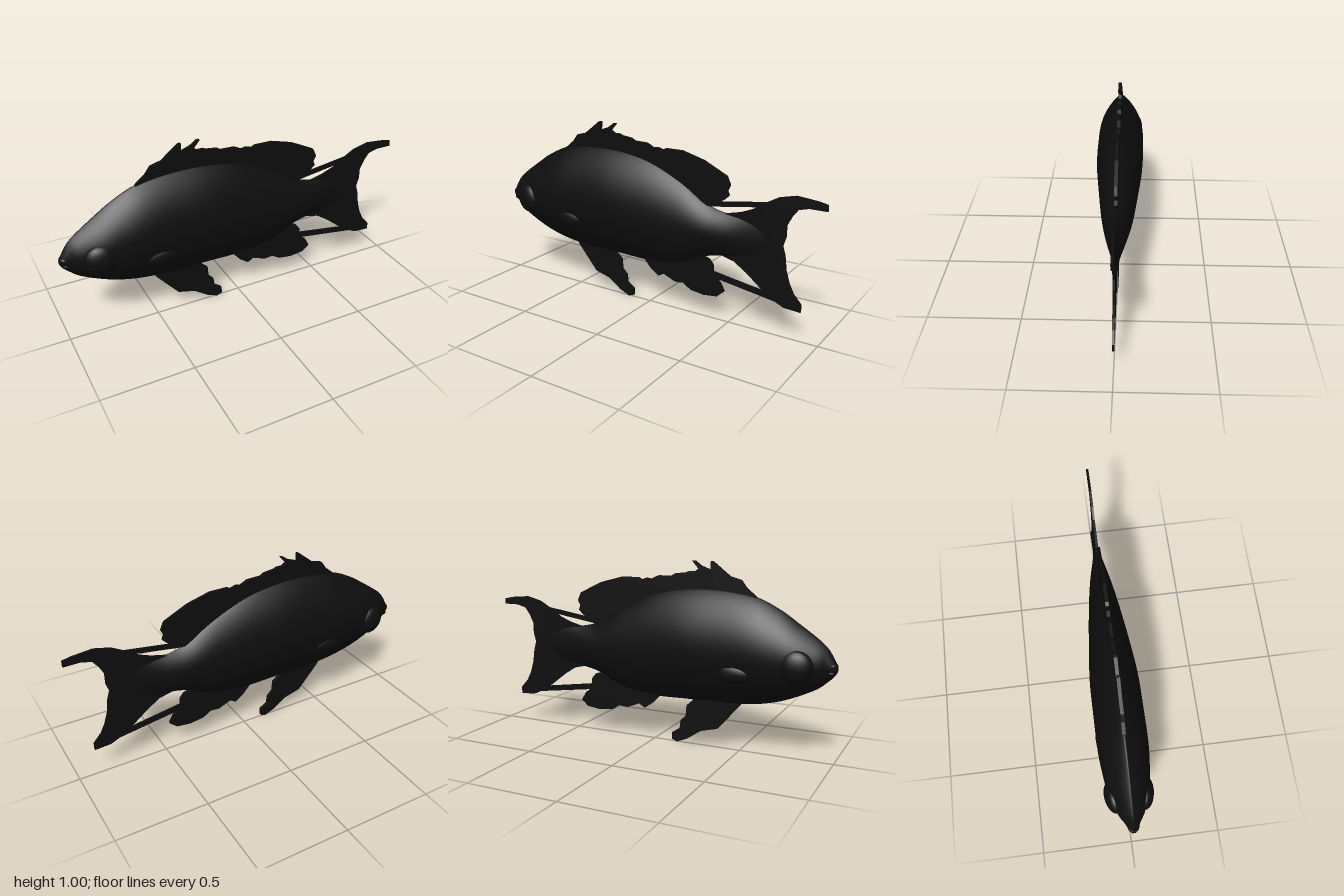
import * as THREE from 'three';

const skin = new THREE.MeshStandardMaterial({ color: 0x0e0e0e });
skin.name = 'black skin';

// Body stations: x, top y, bottom y, half width
const stations = [
  [-1.0, 0.505, 0.48, 0.01], [-0.985, 0.535, 0.455, 0.022], [-0.95, 0.59, 0.42, 0.04],
  [-0.9, 0.635, 0.38, 0.07], [-0.8, 0.705, 0.33, 0.105], [-0.7, 0.77, 0.292, 0.122],
  [-0.57, 0.828, 0.264, 0.133], [-0.4, 0.855, 0.25, 0.133], [-0.2, 0.855, 0.25, 0.13],
  [0.0, 0.82, 0.248, 0.112], [0.2, 0.735, 0.275, 0.09], [0.35, 0.64, 0.345, 0.069],
  [0.45, 0.61, 0.37, 0.05], [0.55, 0.6, 0.38, 0.026], [0.65, 0.58, 0.4, 0.01], [0.72, 0.54, 0.44, 0.005],
];

// Lofts lens-shaped sections along the smoothed stations
function bodyGeometry(rings = 90, sides = 40) {
  const heights = new THREE.CatmullRomCurve3(stations.map(s => new THREE.Vector3(s[0], s[1], s[2])), false, 'catmullrom');
  const widths = new THREE.CatmullRomCurve3(stations.map(s => new THREE.Vector3(s[0], s[3], 0)), false, 'catmullrom');
  const pos = [], index = [];
  for (let i = 0; i <= rings; i++) {
    const { x, y: top, z: bottom } = heights.getPoint(i / rings);
    const w = widths.getPoint(i / rings).y;
    for (let j = 0; j < sides; j++) {
      const a = (j / sides) * Math.PI * 2, c = Math.cos(a);
      pos.push(x, (top + bottom) / 2 + (top - bottom) / 2 * Math.sin(a), w * Math.sign(c) * Math.abs(c) ** 1.7);
      if (i < rings) {
        const k = (j + 1) % sides, p = i * sides, q = p + sides;
        index.push(p + j, q + j, p + k, q + j, q + k, p + k);
      }
    }
  }
  // End caps
  const last = rings * sides;
  for (let j = 1; j < sides - 1; j++) index.push(0, j, j + 1, last, last + j + 1, last + j);
  const g = new THREE.BufferGeometry();
  g.setAttribute('position', new THREE.Float32BufferAttribute(pos, 3));
  g.setIndex(index);
  g.computeVertexNormals();
  return g;
}

// Flat fin cut from an outline, centred on z = 0
function finGeometry(outline, depth) {
  const shape = new THREE.Shape(outline.map(([x, y]) => new THREE.Vector2(x, y)));
  return new THREE.ExtrudeGeometry(shape, { depth, bevelEnabled: false }).translate(0, 0, -depth / 2);
}

const dorsal = [
  [-0.6, 0.79], [-0.57, 0.83], [-0.52, 0.87], [-0.49, 0.91], [-0.43, 0.926], [-0.38, 0.965], [-0.335, 1.0],
  [-0.322, 1.0], [-0.325, 0.955], [-0.27, 0.975], [-0.235, 1.0], [-0.22, 1.0], [-0.255, 0.96], [-0.235, 0.945],
  [-0.2, 0.945], [-0.18, 0.937], [-0.12, 0.93], [-0.1, 0.917], [-0.02, 0.915], [0.02, 0.895], [0.05, 0.9],
  [0.08, 0.89], [0.1, 0.9], [0.2, 0.9], [0.33, 0.865], [0.465, 0.8], [0.485, 0.755], [0.47, 0.725], [0.48, 0.7],
  [0.45, 0.672], [0.4, 0.655], [0.35, 0.622], [0.3, 0.56], [0.0, 0.7], [-0.4, 0.75],
];
const pelvic = [
  [-0.52, 0.3], [-0.5, 0.25], [-0.44, 0.18], [-0.375, 0.105], [-0.28, 0.08], [-0.2, 0.025], [-0.14, 0.0],
  [-0.11, 0.012], [-0.11, 0.05], [-0.155, 0.08], [-0.16, 0.125], [-0.19, 0.155], [-0.195, 0.215], [-0.245, 0.26], [-0.25, 0.3],
];
const anal = [
  [-0.06, 0.3], [-0.03, 0.25], [0.01, 0.205], [0.06, 0.17], [0.095, 0.19], [0.17, 0.16], [0.22, 0.165], [0.27, 0.135],
  [0.35, 0.125], [0.43, 0.135], [0.47, 0.17], [0.445, 0.215], [0.4, 0.25], [0.4, 0.305], [0.375, 0.335], [0.32, 0.35], [0.1, 0.35],
];
const tail = [
  [0.42, 0.6], [0.47, 0.605], [0.545, 0.624], [0.61, 0.65], [0.67, 0.69], [0.75, 0.735], [0.84, 0.757], [0.95, 0.747],
  [1.0, 0.737], [1.0, 0.705], [0.91, 0.705], [0.855, 0.69], [0.825, 0.65], [0.8, 0.6], [0.8, 0.54], [0.785, 0.49],
  [0.8, 0.44], [0.81, 0.365], [0.83, 0.3], [0.855, 0.25], [0.9, 0.2], [0.9, 0.16], [0.81, 0.165], [0.73, 0.2],
  [0.66, 0.255], [0.59, 0.31], [0.52, 0.355], [0.45, 0.372], [0.42, 0.38],
];
const upperFilament = [[0.33, 0.62], [0.35, 0.65], [0.72, 0.705], [0.72, 0.68]];
const lowerFilament = [[0.36, 0.245], [0.36, 0.278], [0.76, 0.217], [0.76, 0.187]];

export function createModel() {
  const fish = new THREE.Group();
  fish.name = 'fish';
  const add = (name, geometry) => {
    const mesh = new THREE.Mesh(geometry, skin);
    mesh.name = name;
    fish.add(mesh);
    return mesh;
  };

  add('body', bodyGeometry());

  // Fins and the thin filaments trailing to the tail
  add('dorsalFin', finGeometry(dorsal, 0.018));
  add('pelvicFin', finGeometry(pelvic, 0.018));
  add('analFin', finGeometry(anal, 0.018));
  add('tailFin', finGeometry(tail, 0.012));
  add('upperFilament', finGeometry(upperFilament, 0.012));
  add('lowerFilament', finGeometry(lowerFilament, 0.012));

  // Mirrored eyes and low bumps at the pectoral bases
  for (const [side, s] of [['left', 1], ['right', -1]]) {
    const eye = add(side + 'Eye', new THREE.SphereGeometry(1, 24, 16));
    eye.scale.set(0.085, 0.085, 0.045);
    eye.position.set(-0.81, 0.5, s * 0.083);
    eye.rotation.y = -s * 0.15;
    const base = add(side + 'PectoralBase', new THREE.SphereGeometry(1, 24, 16));
    base.scale.set(0.09, 0.05, 0.03);
    base.position.set(-0.49, 0.44, s * 0.105);
  }

  // Lips
  for (const [name, y, x] of [['upperLip', 0.505, -0.972], ['lowerLip', 0.47, -0.965]]) {
    const lip = add(name, new THREE.SphereGeometry(1, 16, 12));
    lip.scale.set(0.028, 0.017, 0.03);
    lip.position.set(x, y, 0);
  }
  return fish;
}
